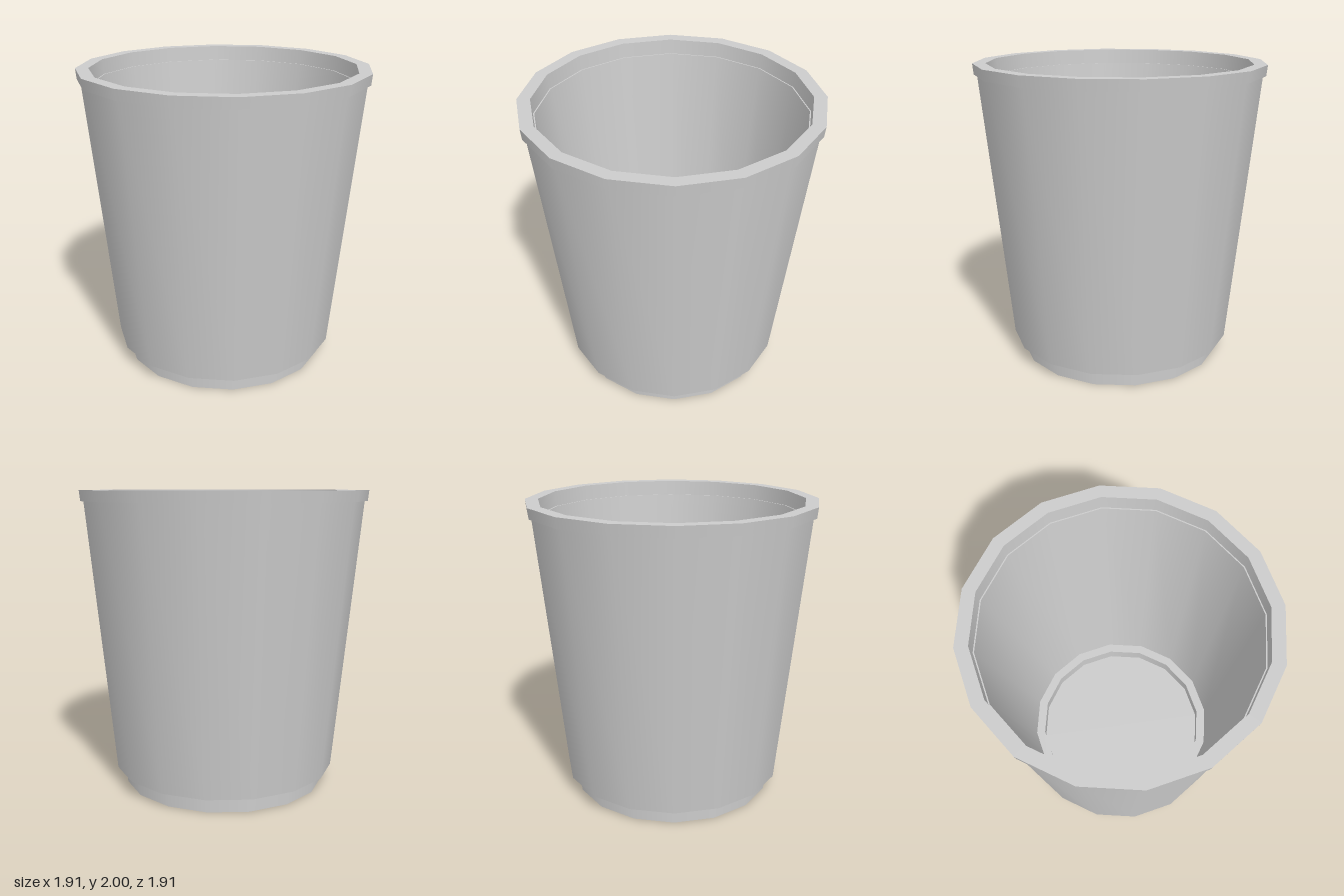
import * as THREE from 'three';
import { mergeGeometries } from 'three/addons/utils/BufferGeometryUtils.js';

const SIDES = 16;

// Revolve each profile segment on its own: smooth around, sharp between segments
function turned(name, material, profile) {
  const bands = [];
  for (let i = 0; i < profile.length - 1; i++) {
    const pair = [profile[i], profile[i + 1]].map(([r, y]) => new THREE.Vector2(r, y));
    bands.push(new THREE.LatheGeometry(pair, SIDES));
  }
  const mesh = new THREE.Mesh(mergeGeometries(bands), material);
  mesh.name = name;
  return mesh;
}

export function createModel() {
  const group = new THREE.Group();
  group.name = 'cup';
  const grey = new THREE.MeshStandardMaterial({ color: 0xcccccc });

  group.add(
    // recessed base with flat underside
    turned('foot', grey, [[0, 0], [0.69, 0], [0.69, 0.11]]),
    // step over the foot, then the tapered outside
    turned('outerWall', grey, [[0.69, 0.11], [0.755, 0.11], [0.93, 1.93]]),
    // slightly flared lip
    turned('rim', grey, [[0.93, 1.93], [0.95, 1.93], [0.957, 2], [0.873, 2], [0.866, 1.9]]),
    // tapered inside running down to the floor ledge
    turned('innerWall', grey, [[0.866, 1.9], [0.858, 1.9], [0.674, 0.18]]),
    // ledge and sunken floor
    turned('floor', grey, [[0.674, 0.18], [0.61, 0.18], [0.61, 0.08], [0, 0.08]])
  );
  return group;
}
